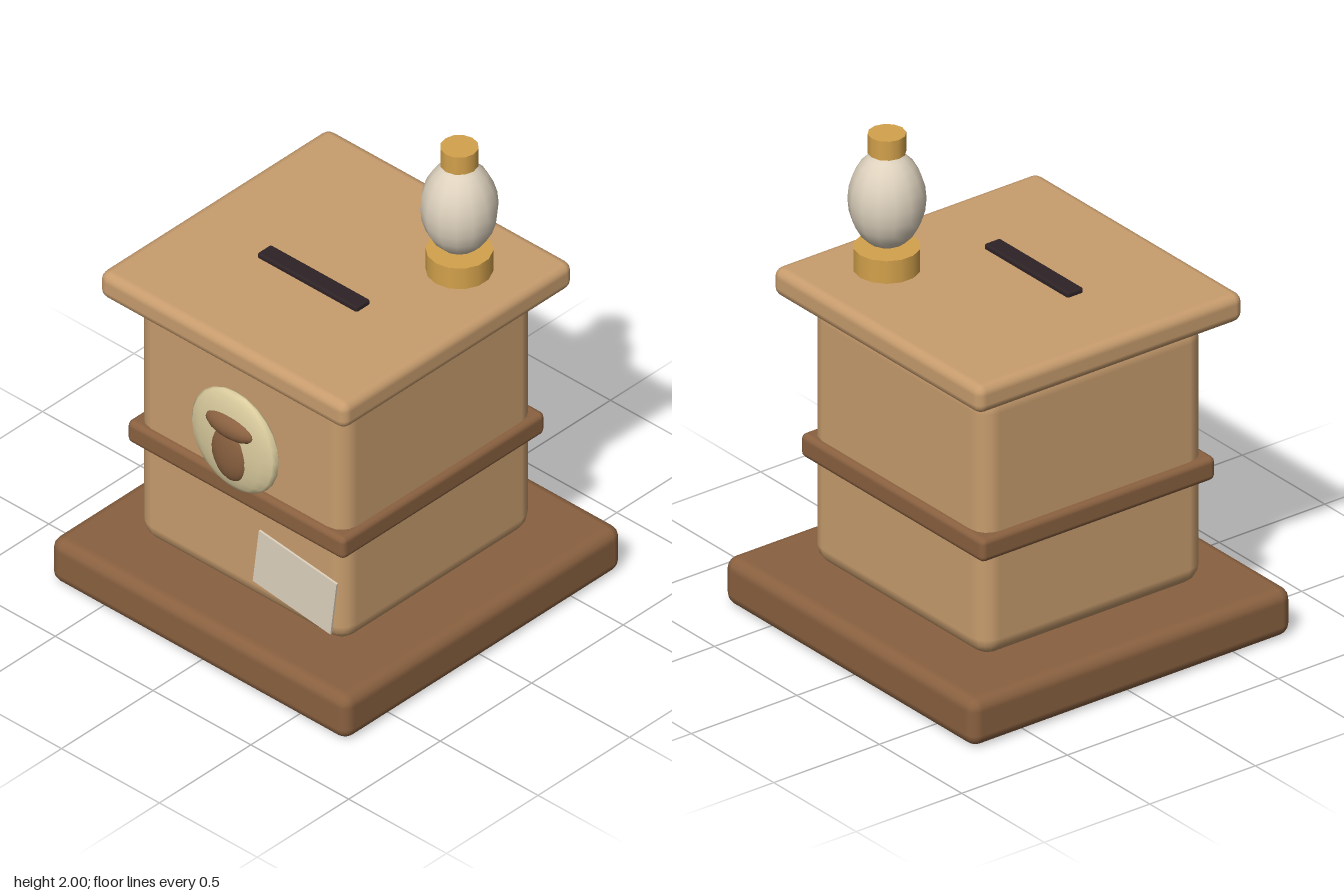
import * as THREE from 'three';
import { RoundedBoxGeometry } from 'three/addons/geometries/RoundedBoxGeometry.js';

const material = (name, color) => {
  const m = new THREE.MeshStandardMaterial({ color });
  m.name = name;
  return m;
};

export function createModel() {
  const model = new THREE.Group();
  model.name = 'coinBox';

  const tan = material('tan wood', 0xc89d6e);
  const brown = material('brown wood', 0x8a6140);
  const gold = material('gold', 0xd4a24c);
  const ivory = material('ivory', 0xded2be);
  const cream = material('cream', 0xdccd9f);
  const dark = material('dark slot', 0x2e2326);

  const add = (name, geometry, mat, x, y, z, parent = model) => {
    const mesh = new THREE.Mesh(geometry, mat);
    mesh.name = name;
    mesh.position.set(x, y, z);
    parent.add(mesh);
    return mesh;
  };
  // Rounded block spanning y0 to y1
  const block = (name, w, d, y0, y1, r, mat, x = 0, z = 0) =>
    add(name, new RoundedBoxGeometry(w, y1 - y0, d, 2, r), mat, x, (y0 + y1) / 2, z);
  const ellipsoid = (name, rx, ry, rz, mat, x, y, z, parent, sides = 16) =>
    add(name, new THREE.SphereGeometry(1, sides, 12).scale(rx, ry, rz), mat, x, y, z, parent);

  // Box body
  block('base', 1.52, 1.52, 0, 0.2, 0.05, brown);
  block('body', 1.06, 1.06, 0.2, 1.31, 0.08, tan);
  block('band', 1.11, 1.11, 0.635, 0.735, 0.025, brown);
  block('lid', 1.26, 1.26, 1.31, 1.43, 0.04, tan);
  block('coinSlot', 0.51, 0.076, 1.41, 1.45, 0.01, dark, 0, 0.122);

  // Knob standing on the back corner of the lid
  const knob = new THREE.Group();
  knob.name = 'knob';
  knob.position.set(0.35, 0, -0.3);
  model.add(knob);
  add('knobCollar', new THREE.CylinderGeometry(0.127, 0.127, 0.1, 14), gold, 0, 1.475, 0, knob);
  ellipsoid('knobBulb', 0.148, 0.2, 0.148, ivory, 0, 1.725, 0, knob, 14);
  add('knobCap', new THREE.CylinderGeometry(0.073, 0.073, 0.08, 12), gold, 0, 1.96, 0, knob);

  // Front medallion with an acorn
  const medallion = new THREE.Group();
  medallion.name = 'medallion';
  model.add(medallion);
  ellipsoid('medallionDisc', 0.222, 0.222, 0.045, cream, 0, 0.92, 0.55, medallion);
  ellipsoid('acornNut', 0.096, 0.13, 0.04, brown, 0, 0.88, 0.572, medallion);
  ellipsoid('acornCap', 0.123, 0.052, 0.042, brown, 0, 0.998, 0.575, medallion);

  // Tilted paper label
  add('label', new THREE.BoxGeometry(0.4, 0.25, 0.009), ivory, 0.302, 0.41, 0.545).rotation.z = -0.125;

  return model;
}
